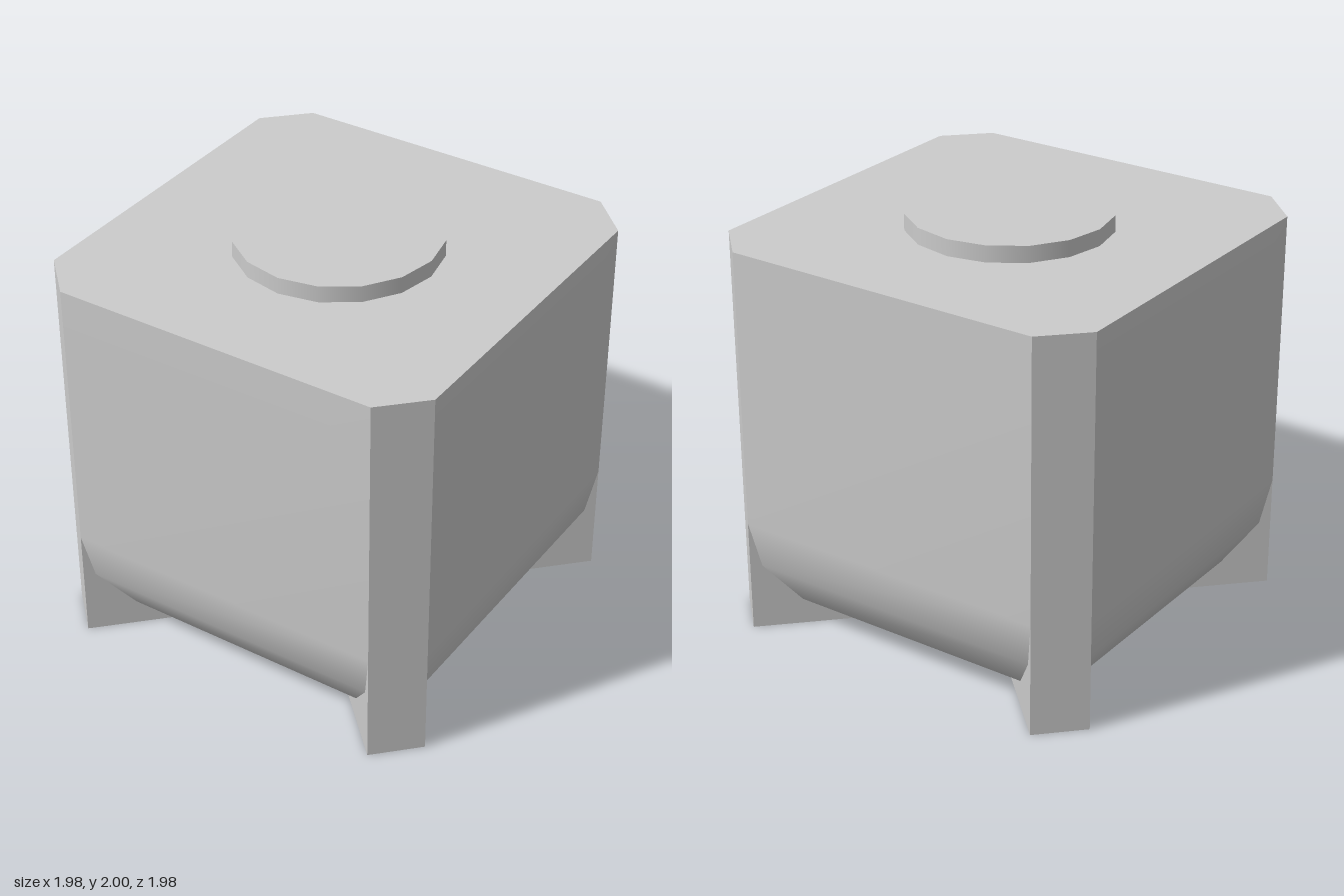
import * as THREE from 'three';

const TOP = 1.92;      // height of the body
const HALF = 0.99;     // half width of the body
const CHAMFER = 0.19;  // corner cut, which also sets the fin thickness

// Side profile as [distance from axis, height], top to bottom
const PROFILE = [[HALF, TOP], [HALF, 0.56], [0.95, 0.33], [0.82, 0.13], [0.62, 0]];

function surface(positions, index) {
  const g = new THREE.BufferGeometry();
  g.setAttribute('position', new THREE.Float32BufferAttribute(positions, 3));
  g.setIndex(index);
  g.computeVertexNormals();
  return g;
}

// Front panel that curves inward at the bottom, ending on the fin planes
function panelGeometry() {
  const pos = [], idx = [];
  PROFILE.forEach(([d, y], i) => {
    const w = d - CHAMFER;
    pos.push(-w, y, d, w, y, d);
    if (i === 0) return;
    const a = 2 * i - 2, b = 2 * i;
    idx.push(b, b + 1, a + 1, b, a + 1, a);
  });
  return surface(pos, idx);
}

// Flat side of a corner fin, exposed below the curve (side is +1 or -1 in x)
function cheekGeometry(side) {
  const pos = [side * (HALF - CHAMFER), 0, HALF], idx = [];
  PROFILE.slice(1).forEach(([d, y], i) => {
    pos.push(side * (d - CHAMFER), y, d);
    if (i > 0) idx.push(0, ...(side > 0 ? [i, i + 1] : [i + 1, i]));
  });
  return surface(pos, idx);
}

// Flat horizontal cap: the same corner points repeated on four sides
function capGeometry(corners, up) {
  const points = [];
  for (let k = 0; k < 4; k++) {
    for (const [x, y] of corners) {
      points.push(new THREE.Vector2(x, y).rotateAround(new THREE.Vector2(), k * Math.PI / 2));
    }
  }
  return new THREE.ShapeGeometry(new THREE.Shape(points)).rotateX(up ? -Math.PI / 2 : Math.PI / 2);
}

export function createModel() {
  const model = new THREE.Group();
  model.name = 'canister';
  const material = new THREE.MeshStandardMaterial({ color: 0xcccccc });

  function add(parent, name, geometry) {
    const mesh = new THREE.Mesh(geometry, material);
    mesh.name = name;
    parent.add(mesh);
    return mesh;
  }

  // Four identical sides, each with a panel, two fin cheeks and a corner face
  const panel = panelGeometry();
  const cheeks = [cheekGeometry(1), cheekGeometry(-1)];
  const corner = new THREE.PlaneGeometry(CHAMFER * Math.SQRT2, TOP)
    .rotateY(Math.PI / 4)
    .translate(HALF - CHAMFER / 2, TOP / 2, HALF - CHAMFER / 2);
  for (let k = 0; k < 4; k++) {
    const side = new THREE.Group();
    side.name = 'side' + (k + 1);
    side.rotation.y = k * Math.PI / 2;
    add(side, 'sidePanel', panel);
    add(side, 'finCheekLeft', cheeks[0]);
    add(side, 'finCheekRight', cheeks[1]);
    add(side, 'cornerFace', corner);
    model.add(side);
  }

  // Chamfered square top and cross-shaped underside
  const c = HALF - CHAMFER, foot = PROFILE[PROFILE.length - 1][0];
  add(model, 'topFace', capGeometry([[HALF, c], [c, HALF]], true)).position.y = TOP;
  add(model, 'underside', capGeometry(
    [[foot, foot - CHAMFER], [HALF, c], [c, HALF], [foot - CHAMFER, foot]], false));

  // Low round lid
  add(model, 'lid', new THREE.CylinderGeometry(0.485, 0.485, 2 - TOP, 16))
    .position.y = (2 + TOP) / 2;

  return model;
}
